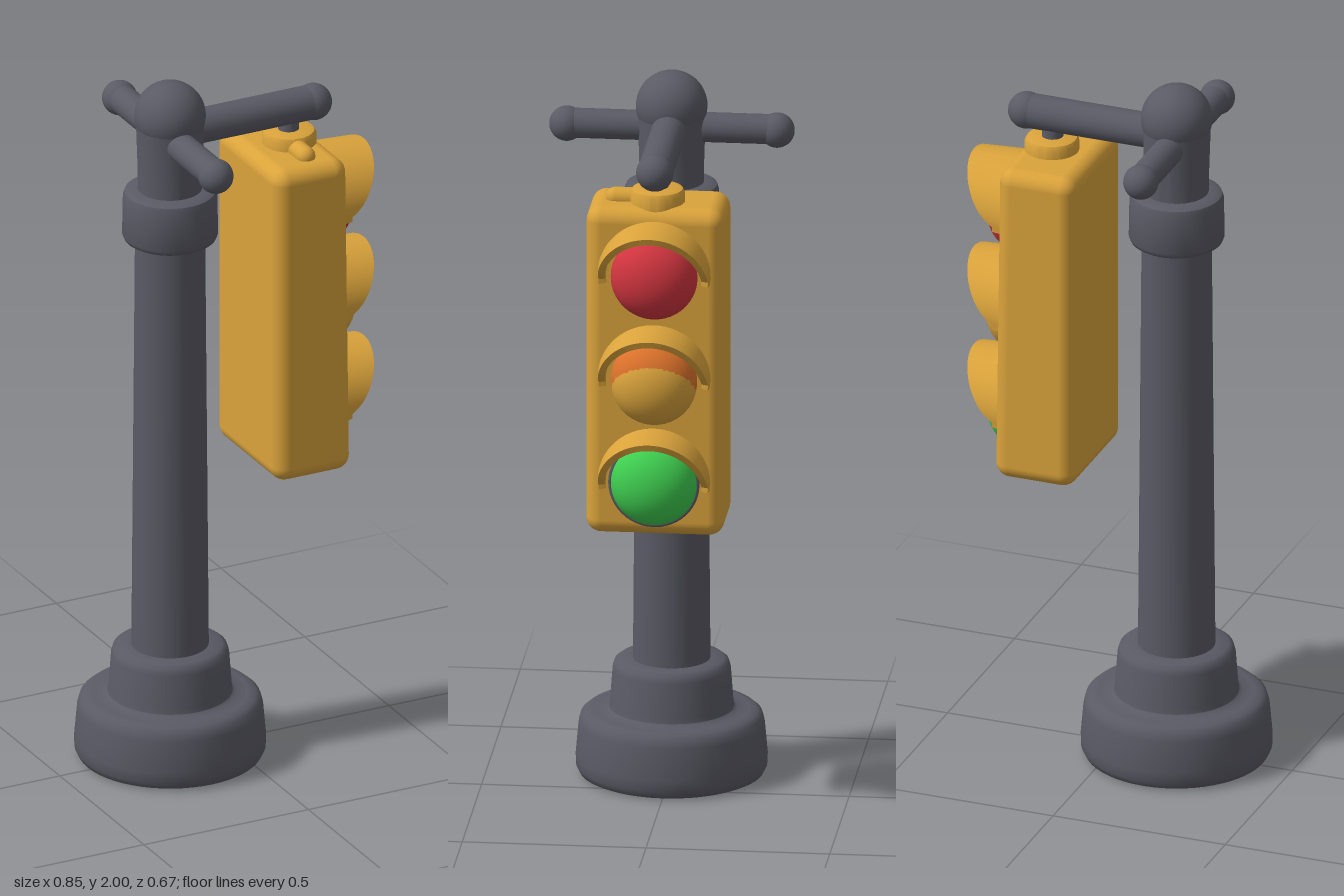
import * as THREE from 'three';
import { toCreasedNormals } from 'three/addons/utils/BufferGeometryUtils.js';
import { RoundedBoxGeometry } from 'three/addons/geometries/RoundedBoxGeometry.js';

const POST_X = -0.165;
const LAMP_X = 0.295;

// Hood over a lamp: a curved shell around the upper half, longest at its crown
function visorGeometry(radius = 0.157, thickness = 0.026, reach = 0.128, steps = 36) {
  const positions = [];
  const index = [];
  const start = -0.12;
  const sweep = Math.PI - 2 * start;
  for (let i = 0; i <= steps; i++) {
    const t = start + (sweep * i) / steps;
    const length = 0.018 + (reach - 0.018) * Math.pow(Math.max(0, Math.sin(t)), 0.65);
    const section = [[-0.03, radius], [length, radius - 0.008], [length - 0.006, radius - thickness], [-0.03, radius - thickness]];
    for (const [x, r] of section) positions.push(x, r * Math.sin(t), r * Math.cos(t));
  }
  for (let i = 0; i < steps; i++) {
    for (let k = 0; k < 4; k++) {
      const a = i * 4 + k;
      const b = i * 4 + ((k + 1) % 4);
      index.push(a, b, a + 4, b, b + 4, a + 4);
    }
  }
  const e = steps * 4;
  index.push(0, 2, 1, 0, 3, 2, e, e + 1, e + 2, e, e + 2, e + 3);
  const geometry = new THREE.BufferGeometry();
  geometry.setAttribute('position', new THREE.Float32BufferAttribute(positions, 3));
  geometry.setIndex(index);
  geometry.computeVertexNormals();
  return toCreasedNormals(geometry, 0.7);
}

export function createModel() {
  const model = new THREE.Group();
  model.name = 'trafficLight';

  const colour = (name, hex) => {
    const material = new THREE.MeshStandardMaterial({ color: hex });
    material.name = name;
    return material;
  };
  const grey = colour('postGrey', 0x5a5a65);
  const yellow = colour('housingYellow', 0xdaa33b);
  const red = colour('lampRed', 0xd2353f);
  const orange = colour('lampOrange', 0xdc722b);
  const green = colour('lampGreen', 0x3fcf50);

  const add = (name, geometry, material, x = 0, y = 0, z = 0, parent = model) => {
    const mesh = new THREE.Mesh(geometry, material);
    mesh.name = name;
    mesh.position.set(x, y, z);
    parent.add(mesh);
    return mesh;
  };
  const lathe = (points) => toCreasedNormals(
    new THREE.LatheGeometry(points.map(([r, y]) => new THREE.Vector2(r, y)), 56), 0.75);

  // Post: stepped foot, tapering pole, collar and domed neck
  add('base', lathe([
    [0, 0.005], [0.235, 0.005], [0.25, 0.012], [0.259, 0.03], [0.26, 0.06], [0.252, 0.15],
    [0.246, 0.172], [0.232, 0.184], [0.21, 0.188], [0.18, 0.188], [0.17, 0.195], [0.167, 0.21],
    [0.16, 0.305], [0.155, 0.322], [0.142, 0.332], [0.1, 0.333],
  ]), grey, POST_X);
  add('pole', lathe([[0.105, 0.32], [0.095, 1.56]]), grey, POST_X);
  add('collar', lathe([
    [0.09, 1.537], [0.115, 1.537], [0.125, 1.543], [0.13, 1.555], [0.128, 1.665],
    [0.123, 1.68], [0.11, 1.687], [0.08, 1.688],
  ]), grey, POST_X);
  add('neck', lathe([[0.087, 1.68], [0.088, 1.75], [0.093, 1.9]]), grey, POST_X);
  add('dome', new THREE.SphereGeometry(0.097, 40, 28), grey, POST_X, 1.903);

  // Long arm carrying the signal
  const arm = add('signalArm', new THREE.CylinderGeometry(0.048, 0.048, 0.435, 28), grey, POST_X + 0.2175, 1.853);
  arm.rotation.z = Math.PI / 2;
  add('signalArmEnd', new THREE.SphereGeometry(0.051, 28, 20), grey, 0.27, 1.853);

  // Short cross arms with ball ends
  for (const side of [-1, 1]) {
    const cross = add('crossArm', new THREE.CylinderGeometry(0.041, 0.041, 0.29, 28), grey, -0.172, 1.842, side * 0.145);
    cross.rotation.x = Math.PI / 2;
    add('crossArmEnd', new THREE.SphereGeometry(0.048, 28, 20), grey, -0.172, 1.84, side * 0.286);
  }

  // Signal housing, its front leaning back slightly towards the top
  const box = new RoundedBoxGeometry(0.234, 0.925, 0.376, 5, 0.042);
  const p = box.attributes.position;
  for (let i = 0; i < p.count; i++) {
    if (p.getX(i) > 0) p.setX(i, p.getX(i) - 0.012 * (p.getY(i) / 0.925 + 0.5));
  }
  add('housing', box, yellow, 0.182, 1.2875);

  // Mount on top of the housing
  add('mountCap', lathe([
    [0.074, 1.74], [0.074, 1.775], [0.068, 1.786], [0.055, 1.79], [0, 1.79],
  ]), yellow, 0.197);
  const lug = add('mountLug', new THREE.CapsuleGeometry(0.027, 0.06, 8, 16), yellow, 0.188, 1.755, 0.085);
  lug.rotation.x = Math.PI / 2;
  add('mountStem', new THREE.CylinderGeometry(0.026, 0.03, 0.06, 20), grey, 0.195, 1.81);

  // Lamps: domed lens under a hood
  const dome = new THREE.SphereGeometry(1, 40, 28);
  const visor = visorGeometry();
  const lamps = [['red', red, 1.563], ['amber', orange, 1.27], ['green', green, 0.977]];
  for (const [name, material, y] of lamps) {
    const lamp = new THREE.Group();
    lamp.name = name + 'Lamp';
    lamp.position.set(LAMP_X, y, 0);
    model.add(lamp);
    add('lens', dome, material, -0.005, 0, 0, lamp).scale.set(0.085, 0.118, 0.118);
    add('visor', visor, yellow, 0, 0, 0, lamp);
    if (name === 'amber') {
      // Yellow lower face of the middle lens
      add('lensFace', dome, yellow, -0.001, -0.008, 0, lamp).scale.set(0.085, 0.116, 0.116);
    }
    if (name === 'green') {
      const rim = add('lensRim', new THREE.TorusGeometry(0.118, 0.007, 10, 48), grey, 0, 0, 0, lamp);
      rim.rotation.y = Math.PI / 2;
    }
  }
  return model;
}
